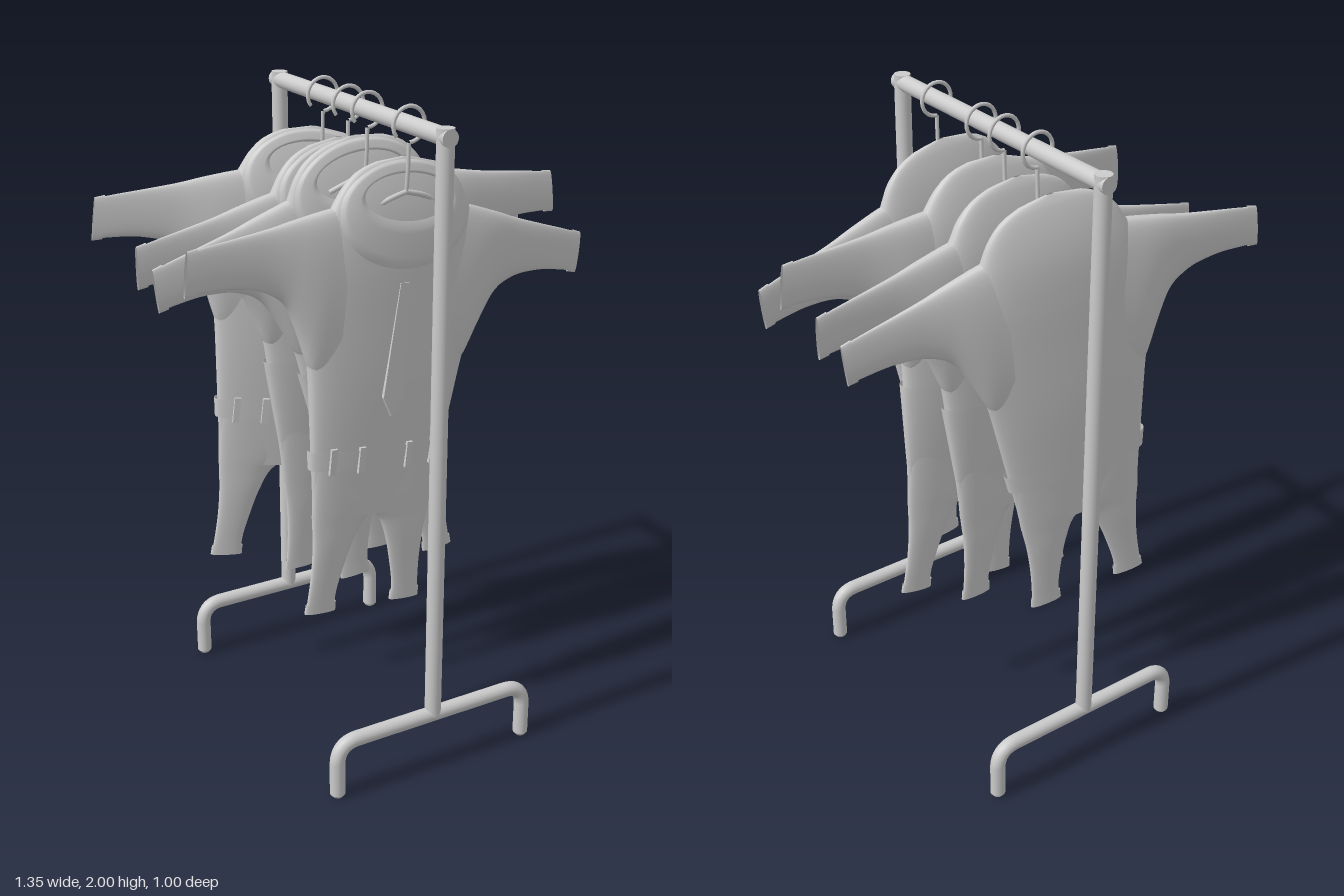
import * as THREE from 'three';

const metal = new THREE.MeshStandardMaterial({ color: 0xcccccc });
const cloth = new THREE.MeshStandardMaterial({ color: 0xcccccc, side: THREE.DoubleSide });
const PIVOT = 1.6;
const FLATNESS = 0.75;

function add(parent, name, geometry, material = cloth) {
  const mesh = new THREE.Mesh(geometry, material);
  mesh.name = name;
  parent.add(mesh);
  return mesh;
}

// Smooth lookup through rows of [t, ...values]
function smoothRows(rows) {
  const size = rows[0].length - 1;
  const spline = new THREE.CubicInterpolant(rows.map(r => r[0]), rows.flatMap(r => r.slice(1)), size);
  return t => Array.from(spline.evaluate(t));
}

// Indexed grid of points, closed around its second direction
function grid(nu, nv, point, flip) {
  const pos = [], index = [];
  for (let i = 0; i <= nu; i++)
    for (let j = 0; j < nv; j++) pos.push(...point(i / nu, (j / nv) * Math.PI * 2));
  for (let i = 0; i < nu; i++)
    for (let j = 0; j < nv; j++) {
      const a = i * nv + j, b = i * nv + (j + 1) % nv, c = a + nv, d = b + nv;
      if (flip) index.push(a, b, c, b, d, c);
      else index.push(a, c, b, b, c, d);
    }
  const g = new THREE.BufferGeometry();
  g.setAttribute('position', new THREE.Float32BufferAttribute(pos, 3));
  g.setIndex(index);
  g.computeVertexNormals();
  return g;
}

// Flattened tube along x or y; at(t) gives [low, high, half depth]
function loft(at, t0, t1, steps, axis, side = 1) {
  return grid(steps, 48, (u, a) => {
    const t = t0 + (t1 - t0) * u;
    const [lo, hi, d] = at(t);
    const s = (lo + hi) / 2 + (hi - lo) / 2 * Math.cos(a);
    const z = d * Math.sign(Math.sin(a)) * Math.abs(Math.sin(a)) ** FLATNESS;
    return axis === 'y' ? [side * s, t, z] : [side * t, s, z];
  }, (axis === 'y') !== (side > 0));
}

// Torso half width and half depth by height
const torso = smoothRows([
  [0.78, 0.203, 0.022], [0.85, 0.208, 0.027], [1.0, 0.226, 0.038], [1.2, 0.251, 0.05],
  [1.4, 0.278, 0.055], [1.55, 0.275, 0.057], [1.66, 0.243, 0.053], [1.72, 0.217, 0.045],
  [1.77, 0.188, 0.034], [1.81, 0.145, 0.022], [1.835, 0.085, 0.012], [1.847, 0.01, 0.003]]);
const sleeve = smoothRows([
  [0.18, 1.2, 1.715, 0.047], [0.25, 1.24, 1.7, 0.045], [0.29, 1.33, 1.69, 0.04],
  [0.34, 1.43, 1.677, 0.031], [0.4, 1.475, 1.66, 0.022], [0.5, 1.495, 1.637, 0.014],
  [0.6, 1.49, 1.615, 0.009], [0.65, 1.483, 1.602, 0.007]]);
const leg = smoothRows([
  [0.47, 0.1, 0.197, 0.01], [0.52, 0.1, 0.193, 0.011], [0.6, 0.084, 0.189, 0.014],
  [0.7, 0.055, 0.192, 0.019], [0.76, 0.025, 0.199, 0.021], [0.8, -0.02, 0.203, 0.024],
  [0.95, -0.01, 0.215, 0.03]]);

// Band around the torso whose offset runs from off0 to off1
function band(y0, y1, off0, off1) {
  return loft(y => {
    const [w, d] = torso(y), o = THREE.MathUtils.mapLinear(y, y0, y1, off0, off1);
    return [-w - o, w + o, d + o];
  }, y0, y1, 10, 'y');
}

// Wide flat collar lying on the chest
function collar() {
  const { lerp } = THREE.MathUtils;
  return grid(8, 64, (u, a) => {
    const x = lerp(0.14, 0.21, u) * Math.cos(a);
    const y = lerp(1.74, 1.69, u) + lerp(0.065, 0.15, u) * Math.sin(a);
    const [w, d] = torso(y);
    const edge = u === 0 || u === 1 ? 0 : 0.006;
    return [x, y, d * Math.max(0, 1 - (x / w) ** 2) ** (FLATNESS / 2) + edge];
  }, false);
}

function garment({ name, x, y, z, yaw, tilt, stretch = 1, belt, tie }) {
  const outer = new THREE.Group(), g = new THREE.Group();
  outer.name = name;
  outer.position.set(x, PIVOT + y, z);
  outer.rotation.set(0, yaw, tilt, 'ZYX');
  outer.scale.y = stretch;
  g.position.y = -PIVOT;
  outer.add(g);

  add(g, 'torso', loft(t => { const [w, d] = torso(t); return [-w, w, d]; }, 0.78, 1.847, 70, 'y'));
  add(g, 'collar', collar());
  for (const s of [1, -1]) {
    const side = s > 0 ? 'left' : 'right';
    add(g, side + 'Sleeve', loft(sleeve, 0.18, 0.645, 30, 'x', s));
    add(g, side + 'Leg', loft(leg, 0.475, 0.95, 30, 'y', s));
    // slightly flared cuffs and hems
    const grow = (at, o) => t => { const [a, b, d] = at(t); return [a - o, b + o, d + o / 2]; };
    add(g, side + 'Cuff', loft(grow(sleeve, 0.004), 0.62, 0.65, 2, 'x', s));
    add(g, side + 'Hem', loft(grow(leg, 0.004), 0.47, 0.5, 2, 'y', s));
  }
  if (belt) {
    add(g, 'belt', band(0.94, 1.0, 0.01, 0.01));
    for (const bx of [-0.17, -0.08, 0.08, 0.17]) {
      const loop = add(g, 'beltLoop', new THREE.BoxGeometry(0.02, 0.08, 0.01));
      loop.position.set(bx, 0.97, 0.049 * (1 - (bx / 0.235) ** 2) ** (FLATNESS / 2));
    }
  } else add(g, 'waistBand', band(0.92, 1.19, 0, 0.009));
  if (tie) {
    const s = new THREE.Shape([[-0.014, 1.5], [0.014, 1.5], [0.034, 1.16], [0, 1.1], [-0.034, 1.16]]
      .map(p => new THREE.Vector2(...p)));
    add(g, 'tie', new THREE.ExtrudeGeometry(s, { depth: 0.012, bevelEnabled: false })).position.z = 0.048;
  }
  return outer;
}

// Wire hanger: hook over the rail, stem and two short sloping arms
function hanger(z) {
  const g = new THREE.Group();
  g.name = 'hanger';
  const hook = add(g, 'hook', new THREE.TorusGeometry(0.05, 0.006, 8, 20, Math.PI * 1.7), metal);
  hook.position.set(0, 1.945, 0);
  hook.rotation.z = -Math.PI / 2;
  const wire = (name, pts, r) => add(g, name, new THREE.TubeGeometry(
    new THREE.CatmullRomCurve3(pts.map(p => new THREE.Vector3(...p))), 10, r, 8), metal);
  wire('stem', [[0, 1.896, 0], [0, 1.82, -0.003], [0, 1.757, -0.01]], 0.006);
  for (const s of [1, -1])
    wire('arm', [[0, 1.757, -0.01], [s * 0.05, 1.743, -0.012], [s * 0.11, 1.715, -0.025]], 0.008);
  g.position.z = z;
  return g;
}

function rack() {
  const g = new THREE.Group();
  g.name = 'rack';
  const V = (x, y) => new THREE.Vector3(x, y, 0);
  // Foot: straight bar with both ends bent down to the floor
  const path = new THREE.CurvePath();
  path.add(new THREE.LineCurve3(V(-0.331, 0.01), V(-0.331, 0.12)));
  path.add(new THREE.QuadraticBezierCurve3(V(-0.331, 0.12), V(-0.325, 0.178), V(-0.268, 0.18)));
  path.add(new THREE.LineCurve3(V(-0.268, 0.18), V(0.268, 0.18)));
  path.add(new THREE.QuadraticBezierCurve3(V(0.268, 0.18), V(0.325, 0.178), V(0.331, 0.12)));
  path.add(new THREE.LineCurve3(V(0.331, 0.12), V(0.331, 0.01)));
  const footGeo = new THREE.TubeGeometry(path, 80, 0.0235, 16);
  for (const s of [1, -1]) {
    const z = s * 0.475;
    add(g, 'foot', footGeo, metal).position.z = z;
    for (const x of [-0.331, 0.331])
      add(g, 'footTip', new THREE.CylinderGeometry(0.0235, 0.016, 0.01, 16), metal).position.set(x, 0.005, z);
    add(g, 'post', new THREE.CylinderGeometry(0.025, 0.025, 1.79, 20), metal).position.set(0, 1.075, z);
  }
  const rail = add(g, 'rail', new THREE.CylinderGeometry(0.025, 0.025, 1, 20), metal);
  rail.rotation.x = Math.PI / 2;
  rail.position.y = 1.945;
  return g;
}

export function createModel() {
  const model = new THREE.Group();
  model.name = 'clothesRack';
  model.add(rack());
  const suits = [
    { name: 'firstSuit', x: 0, y: 0, z: 0.24, yaw: 0.012, tilt: -0.1, belt: true, tie: true },
    { name: 'secondSuit', x: 0.015, y: 0.01, z: 0.008, yaw: -0.073, tilt: 0.115, stretch: 1.03 },
    { name: 'thirdSuit', x: 0, y: -0.01, z: -0.1, yaw: 0, tilt: 0 },
    { name: 'fourthSuit', x: -0.03, y: -0.01, z: -0.255, yaw: -0.18, tilt: -0.13, stretch: 1.02, belt: true }];
  for (const s of suits) model.add(garment(s));
  for (const z of [0.293, 0.068, -0.042, -0.195]) model.add(hanger(z));
  return model;
}
